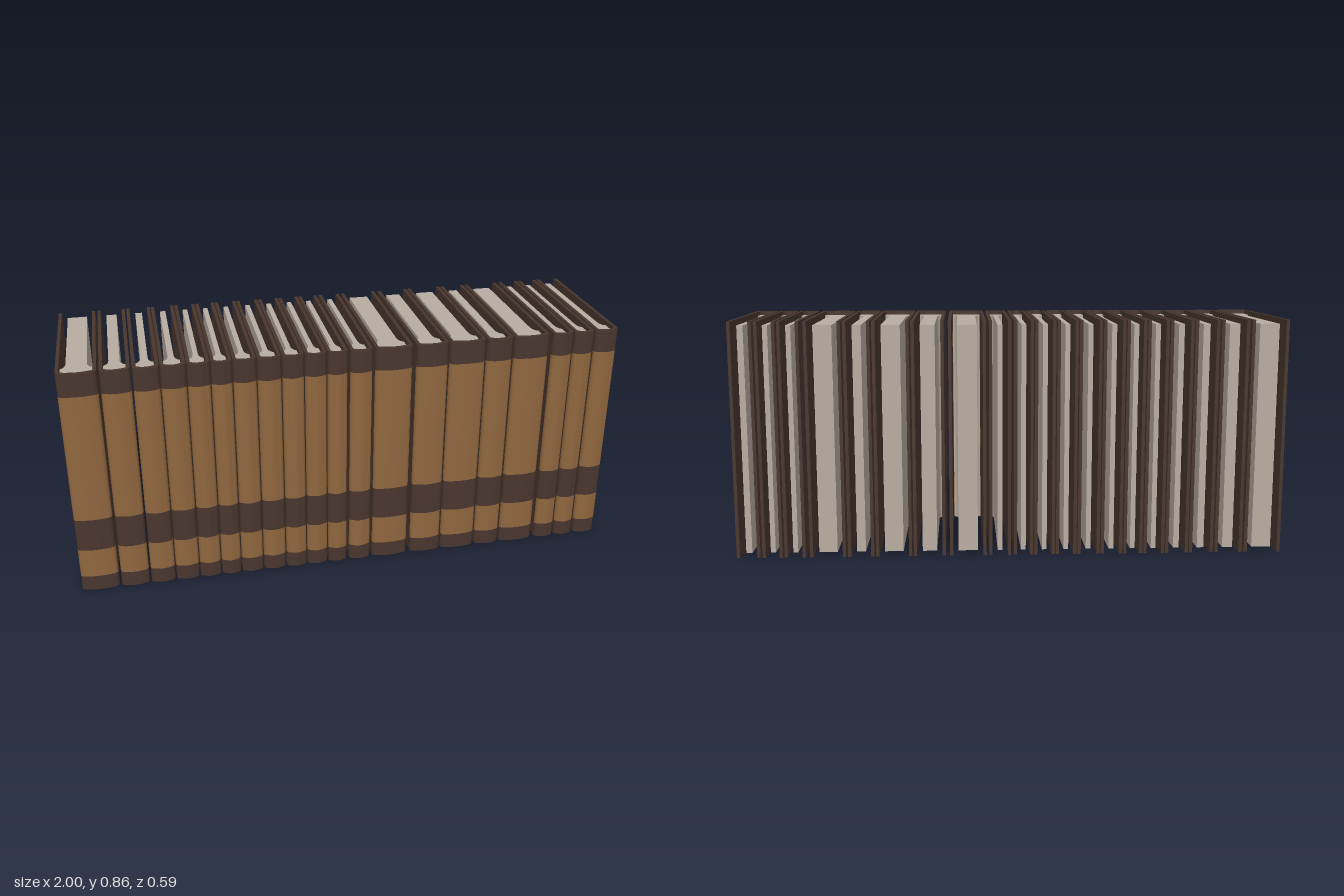
import * as THREE from 'three';

const HEIGHT = 0.86, BACK = -0.295, HINGE = 0.272, BOARD = 0.012;

// left and right edge of every book along the row
const BOOKS = [
  [-1, -0.865], [-0.857, -0.755], [-0.749, -0.66], [-0.656, -0.571], [-0.567, -0.49],
  [-0.486, -0.415], [-0.411, -0.331], [-0.327, -0.245], [-0.241, -0.165], [-0.161, -0.085],
  [-0.081, -0.01], [0, 0.08], [0.09, 0.225], [0.24, 0.357], [0.363, 0.495],
  [0.501, 0.597], [0.604, 0.735], [0.75, 0.827], [0.833, 0.907], [0.914, 1],
];

// spine bands from bottom to top: start, end, gilded or not
const BANDS = [
  [0, 0.058, false], [0.058, 0.17, true], [0.17, 0.295, false],
  [0.295, 0.775, true], [0.775, HEIGHT, false],
];

// extrude a plan outline (x, z) upwards from y0 to y1
function prism(shape, y0, y1) {
  const g = new THREE.ExtrudeGeometry(shape, { depth: y1 - y0, bevelEnabled: false, curveSegments: 6 });
  g.rotateX(Math.PI / 2);
  g.translate(0, y1, 0);
  return g;
}

// thin spine shell with rounded shoulders and a gentle bulge
function spineShape(h) {
  const s = new THREE.Shape();
  const r = 0.016, i = h - BOARD;
  s.moveTo(-i, HINGE);
  s.lineTo(-h, HINGE);
  s.quadraticCurveTo(-h, 0.286, -h + r, 0.289);
  s.quadraticCurveTo(0, 0.3, h - r, 0.289);
  s.quadraticCurveTo(h, 0.286, h, HINGE);
  s.lineTo(i, HINGE);
  s.quadraticCurveTo(0, 0.292, -i, HINGE);
  return s;
}

// narrow page block that flares out to meet the boards at the spine
function pageShape(h) {
  const p = Math.max(h - 0.032, 0.009), f = h - BOARD - 0.002;
  const s = new THREE.Shape();
  s.moveTo(-p, -0.28);
  s.lineTo(p, -0.28);
  s.lineTo(p, 0.17);
  s.quadraticCurveTo(p, 0.2, f, 0.21);
  s.lineTo(f, HINGE);
  s.lineTo(-f, HINGE);
  s.lineTo(-f, 0.21);
  s.quadraticCurveTo(-p, 0.2, -p, 0.17);
  s.closePath();
  return s;
}

export function createModel() {
  const make = (name, color) => {
    const m = new THREE.MeshStandardMaterial({ color });
    m.name = name;
    return m;
  };
  const leather = make('dark leather', 0x49362e);
  const tan = make('tan leather', 0x8f663e);
  const paper = make('paper', 0xb8aca0);

  const row = new THREE.Group();
  row.name = 'bookRow';

  BOOKS.forEach(([x0, x1]) => {
    const book = new THREE.Group();
    book.name = 'book';
    book.position.x = (x0 + x1) / 2;
    const h = (x1 - x0) / 2;
    const add = (name, geometry, material) => {
      const mesh = new THREE.Mesh(geometry, material);
      mesh.name = name;
      book.add(mesh);
      return mesh;
    };

    // cover boards
    for (const side of [-1, 1]) {
      const board = add(side > 0 ? 'leftCover' : 'rightCover',
        new THREE.BoxGeometry(BOARD, HEIGHT, HINGE - BACK), leather);
      board.position.set(side * (h - BOARD / 2), HEIGHT / 2, (HINGE + BACK) / 2);
    }

    // banded spine
    const outline = spineShape(h);
    for (const [y0, y1, gilded] of BANDS) {
      add(gilded ? 'spinePanel' : 'spineBand', prism(outline, y0, y1), gilded ? tan : leather);
    }

    // pages
    add('pages', prism(pageShape(h), 0.015, 0.845), paper);
    row.add(book);
  });
  return row;
}
